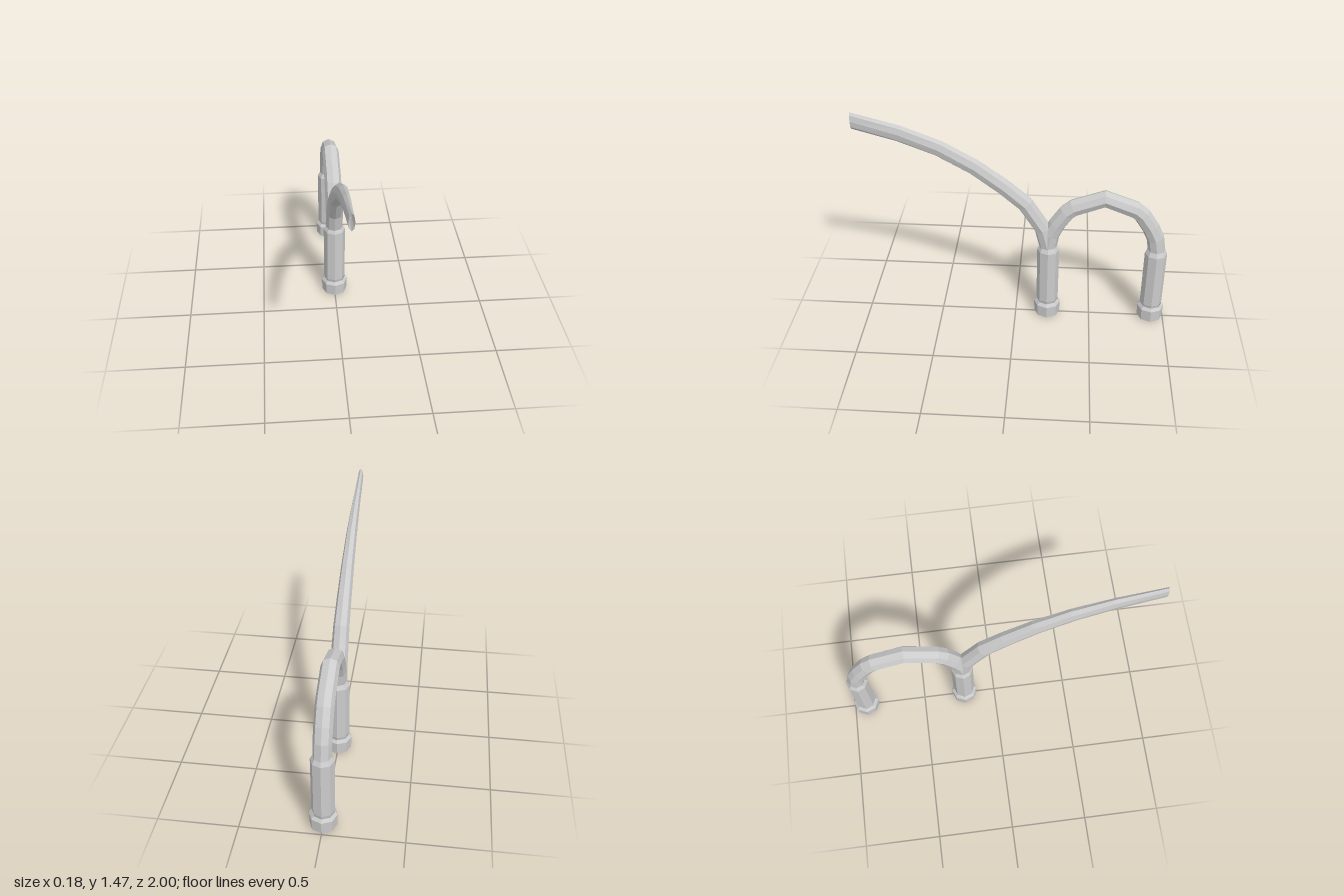
import * as THREE from 'three';

const SIDES = 8;
const material = new THREE.MeshStandardMaterial({
  color: 0xcccccc, flatShading: true, side: THREE.DoubleSide,
});

// Octagonal tube along [z, y] points; halfWidth(t) is its extent in x, depth in the bend plane
function sweep(name, path, halfWidth, depth) {
  const positions = [], indices = [];
  path.forEach(([z, y], i) => {
    const a = path[Math.max(i - 1, 0)], b = path[Math.min(i + 1, path.length - 1)];
    const end = i === 0 || i === path.length - 1;
    // Ends are cut square to the horizontal or vertical, bends are mitred
    let dz = b[0] - a[0], dy = b[1] - a[1];
    if (end) [dz, dy] = Math.abs(dz) > Math.abs(dy) ? [Math.sign(dz), 0] : [0, Math.sign(dy)];
    const len = Math.hypot(dz, dy);
    dz /= len; dy /= len;
    const w = halfWidth(z);
    for (let j = 0; j < SIDES; j++) {
      const angle = j / SIDES * Math.PI * 2;
      const c = Math.cos(angle) * w, s = Math.sin(angle) * depth;
      positions.push(c, y + s * dz, z - s * dy);
      if (i < path.length - 1) {
        const p = i * SIDES + j, q = i * SIDES + (j + 1) % SIDES;
        indices.push(p, q, p + SIDES, q, q + SIDES, p + SIDES);
      }
    }
  });
  // Wind the faces outward whichever way the path runs
  for (let k = 0; k < indices.length; k += 3) {
    [indices[k + 1], indices[k + 2]] = [indices[k + 2], indices[k + 1]];
  }
  const geometry = new THREE.BufferGeometry();
  geometry.setAttribute('position', new THREE.Float32BufferAttribute(positions, 3));
  geometry.setIndex(indices);
  geometry.computeVertexNormals();
  const mesh = new THREE.Mesh(geometry, material);
  mesh.name = name;
  return mesh;
}

// Octagonal turned part from [radius, y] points
function turned(name, profile) {
  const points = profile.map(([r, y]) => new THREE.Vector2(r, y));
  const mesh = new THREE.Mesh(new THREE.LatheGeometry(points, SIDES), material);
  mesh.name = name;
  return mesh;
}

// Upright sleeve standing in a wider foot collar
function createPost(name, z) {
  const post = new THREE.Group();
  post.name = name;
  post.add(
    turned('footCollar', [[0, 0], [0.084, 0.008], [0.088, 0.092], [0.072, 0.112]]),
    turned('sleeve', [[0.066, 0.105], [0.072, 0.13], [0.072, 0.52], [0.056, 0.55]]),
  );
  post.position.z = z;
  return post;
}

export function createModel() {
  const model = new THREE.Group();
  model.name = 'archedHandle';
  const frontZ = -0.213, rearZ = -0.912, midZ = (frontZ + rearZ) / 2;

  model.add(createPost('frontPost', frontZ), createPost('rearPost', rearZ));

  // Arch joining the posts, mirrored about its peak
  const half = [[frontZ, 0.5], [-0.211, 0.54], [-0.228, 0.64], [-0.265, 0.72],
    [-0.325, 0.81], [-0.368, 0.846]];
  const mirrored = half.map(([z, y]) => [2 * midZ - z, y]).reverse();
  model.add(sweep('arch', [...half, [midZ, 0.92], ...mirrored], () => 0.056, 0.056));

  // Long arm sweeping up and forward, narrowing sideways to its open tip
  const armPath = [[frontZ, 0.5], [-0.211, 0.54], [-0.175, 0.68], [-0.062, 0.86],
    [0.075, 0.98], [0.257, 1.117], [0.472, 1.24], [0.712, 1.333], [1, 1.411]];
  model.add(sweep('arm', armPath, (z) => THREE.MathUtils.mapLinear(z, frontZ, 1, 0.056, 0.018), 0.055));

  return model;
}
